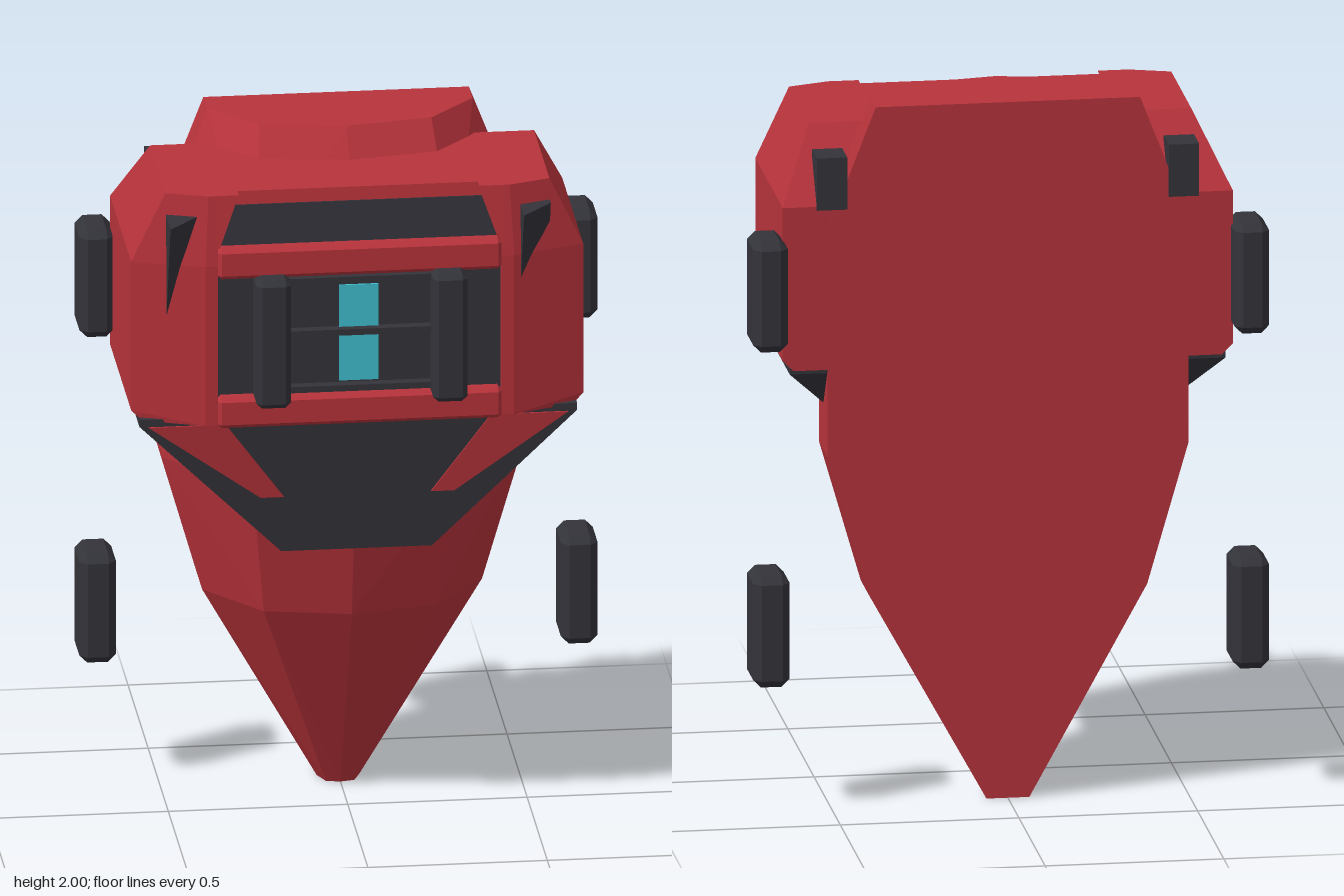
import * as THREE from 'three';
import { ConvexGeometry } from 'three/addons/geometries/ConvexGeometry.js';

const material = (name, color) => {
  const m = new THREE.MeshStandardMaterial({ color });
  m.name = name;
  return m;
};

export function createModel() {
  const red = material('red armour', 0xb8333b);
  const dark = material('dark metal', 0x33333a);
  const cyan = material('cyan light', 0x3fc0d0);
  const model = new THREE.Group();
  model.name = 'shieldedTorso';

  const add = (name, geometry, mat) => {
    const mesh = new THREE.Mesh(geometry, mat);
    mesh.name = name;
    model.add(mesh);
    return mesh;
  };
  // Faceted solid around corner points
  const hull = (name, points, mat) =>
    add(name, new ConvexGeometry(points.map(p => new THREE.Vector3(...p))), mat);
  const mirrored = points => points.flatMap(([x, y, z]) => [[x, y, z], [-x, y, z]]);
  const box = (name, x0, x1, y0, y1, z0, z1, mat) => {
    const mesh = add(name, new THREE.BoxGeometry(x1 - x0, y1 - y0, z1 - z0), mat);
    mesh.position.set((x0 + x1) / 2, (y0 + y1) / 2, (z0 + z1) / 2);
    return mesh;
  };
  // Box with all edges cut off by c
  const bevelBox = (name, x0, x1, y0, y1, z0, z1, c, mat) => {
    const h = [(x1 - x0) / 2, (y1 - y0) / 2, (z1 - z0) / 2];
    const points = [];
    for (const sx of [-1, 1]) for (const sy of [-1, 1]) for (const sz of [-1, 1])
      for (let k = 0; k < 3; k++) {
        const s = [sx, sy, sz];
        points.push(h.map((v, i) => s[i] * (i === k ? v : v - c)));
      }
    const mesh = hull(name, points, mat);
    mesh.position.set((x0 + x1) / 2, (y0 + y1) / 2, (z0 + z1) / 2);
    return mesh;
  };

  // Tapered shield: y, ridge z, shoulder x and z, rim half width and z
  const sections = [
    [0, -0.18, 0.04, -0.19, 0.06, -0.24],
    [0.6, 0.10, 0.24, 0.05, 0.39, -0.14],
    [1.0, 0.19, 0.28, 0.14, 0.505, -0.13],
    [1.65, 0.22, 0.28, 0.18, 0.505, -0.14],
    [2.0, -0.02, 0.24, -0.06, 0.37, -0.2],
  ];
  hull('shield', mirrored(sections.flatMap(([y, zr, xs, zs, xw, zw]) =>
    [[0, y, zr], [xs, y, zs], [xw, y, zw], [xw, y, -0.29]])), red);

  // Centre of the torso, with a sloping upper front
  hull('torsoCentre', mirrored([
    [0.4, 1.92, -0.14], [0.4, 1.92, 0.245], [0.4, 1.77, 0.265],
    [0.4, 1.25, 0.265], [0.4, 1.25, -0.288], [0.4, 1.72, -0.288],
  ]), red);

  for (const s of [1, -1]) {
    const side = s > 0 ? 'left' : 'right';
    const flip = points => points.map(([x, y, z]) => [s * x, y, z]);
    // Bevelled outer torso blocks
    hull(side + 'Shoulder', flip([
      [0.395, 1.92, 0.278], [0.42, 1.92, 0.278], [0.535, 1.92, 0.24],
      [0.395, 1.92, -0.14], [0.535, 1.92, -0.14],
      [0.395, 1.72, 0.302], [0.43, 1.72, 0.302], [0.63, 1.72, 0.235],
      [0.395, 1.72, -0.288], [0.63, 1.72, -0.288],
      [0.395, 1.25, 0.302], [0.43, 1.25, 0.302],
      [0.63, 1.28, 0.235], [0.6, 1.25, 0.24],
      [0.63, 1.28, -0.288], [0.6, 1.25, -0.288], [0.395, 1.25, -0.288],
    ]), red);
    // Slanted cheek beside the upper vent
    hull(side + 'VentCheek', flip([
      [0.335, 1.92, 0.278], [0.4, 1.92, 0.278], [0.4, 1.77, 0.297], [0.39, 1.77, 0.297],
      [0.335, 1.92, 0.2], [0.4, 1.92, 0.2], [0.4, 1.77, 0.2], [0.39, 1.77, 0.2],
    ]), red);

    // Front horn: same handed shape on both sides
    const x = s > 0 ? 0.45 : -0.535;
    hull(side + 'Horn', [
      [x, 1.86, 0.367], [x + 0.085, 1.86, 0.275], [x + 0.085, 1.86, 0.23],
      [x, 1.86, 0.23], [x, 1.52, 0.25], [x + 0.085, 1.72, 0.23],
    ], dark);
    box(side + 'RearStub', x, x + 0.085, 1.71, 1.86, -0.293, -0.195, dark);

    // Side pods and chest pods
    const span = (a, b) => (s > 0 ? [a, b] : [-b, -a]);
    bevelBox(side + 'UpperPod', ...span(0.625, 0.722), 1.325, 1.642, -0.373, -0.21, 0.022, dark);
    bevelBox(side + 'LowerPod', ...span(0.62, 0.722), 0.362, 0.682, -0.373, -0.21, 0.022, dark);
    bevelBox(side + 'ChestPod', ...span(0.198, 0.294), 1.315, 1.692, 0.25, 0.37, 0.015, dark);
  }

  // Upper vent on the sloping front
  const vent = new THREE.Shape([
    new THREE.Vector2(-0.385, 0), new THREE.Vector2(0.385, 0),
    new THREE.Vector2(0.345, 0.115), new THREE.Vector2(-0.345, 0.115),
  ]);
  const ventMesh = add('upperVent',
    new THREE.ExtrudeGeometry(vent, { depth: 0.006, bevelEnabled: false }), dark);
  ventMesh.position.set(0, 1.768, 0.265);
  ventMesh.rotation.x = -0.133;

  // Chest window with frame, light strip and rails
  box('chestPanel', -0.395, 0.395, 1.32, 1.7, 0.264, 0.272, dark);
  box('lightStrip', -0.055, 0.055, 1.36, 1.642, 0.27, 0.278, cyan);
  bevelBox('upperFrame', -0.397, 0.397, 1.68, 1.77, 0.25, 0.308, 0.012, red);
  bevelBox('lowerFrame', -0.397, 0.397, 1.24, 1.33, 0.25, 0.308, 0.012, red);
  for (const y of [1.345, 1.51, 1.665])
    box('chestRail', -0.21, 0.21, y - 0.009, y + 0.009, 0.27, 0.3, dark);

  // Dark lower wedge
  hull('waistWedge', mirrored([
    [0.61, 1.26, 0.262], [0.61, 1.26, -0.286], [0.61, 1.24, 0.262], [0.61, 1.24, -0.286],
    [0.21, 0.84, 0.22], [0.21, 0.84, 0],
  ]), dark);

  // Red slashes on the wedge front
  for (const s of [1, -1]) {
    const slash = new THREE.Shape([[0.585, 0.4], [0.37, 0.4], [0.205, 0.17], [0.27, 0.17]]
      .map(([x, y]) => new THREE.Vector2(s * x, y)));
    const mesh = add('waistSlash',
      new THREE.ExtrudeGeometry(slash, { depth: 0.006, bevelEnabled: false }), red);
    mesh.position.set(0, 0.84, 0.22);
    mesh.rotation.x = 0.1;
  }
  return model;
}
